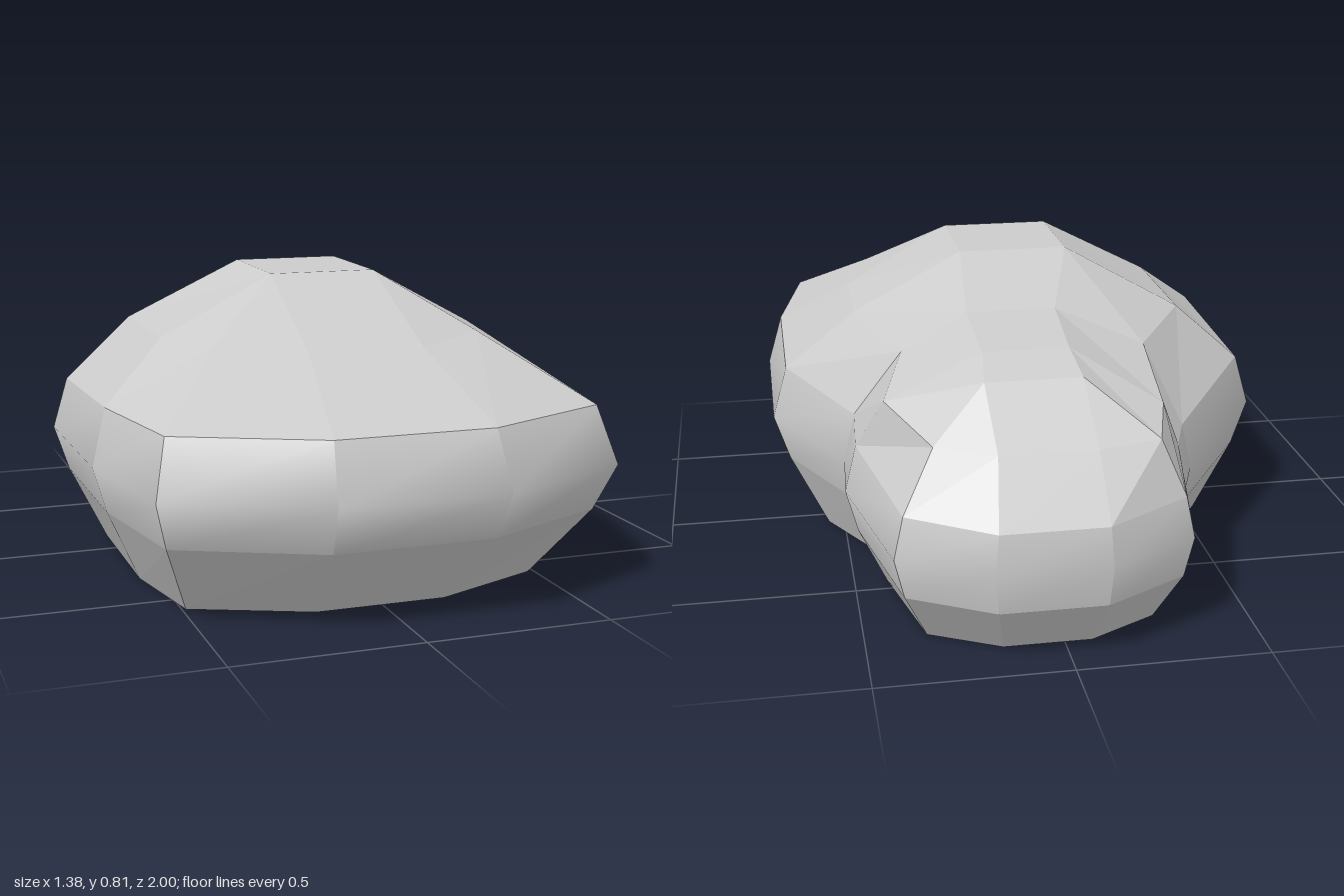
import * as THREE from 'three';

// Plan outline at the widest level [x, z], counter-clockwise seen from above
const outline = [
  [0.22, 1], [0.61, 0.82], [0.69, 0.42], [0.69, -0.06], [0.51, -0.36], [0.52, -0.53], [0.43, -0.89], [0.2, -1],
  [-0.09, -1], [-0.32, -0.89], [-0.37, -0.63], [-0.41, -0.53], [-0.69, -0.15], [-0.69, 0.42], [-0.62, 0.82], [-0.23, 1],
];
// Upper shoulder of the rock [x, y, z]
const shoulder = [
  [0.17, 0.64, 0.56], [0.37, 0.66, 0.45], [0.45, 0.65, 0.22], [0.45, 0.65, -0.06],
  [0.35, 0.63, -0.37], [0.42, 0.58, -0.6], [0.32, 0.53, -0.8], [0.17, 0.52, -0.86],
  [-0.08, 0.52, -0.86], [-0.24, 0.53, -0.84], [-0.28, 0.57, -0.7], [-0.3, 0.63, -0.41],
  [-0.46, 0.65, -0.16], [-0.46, 0.65, 0.24], [-0.37, 0.66, 0.46], [-0.15, 0.64, 0.56],
];
// Ridge along the top: right side, then left side; end points are shared by several columns
const F = [0.15, 0.81, 0.24], R = [0.18, 0.655, -0.71];
const f = [-0.15, 0.81, 0.24], r = [-0.07, 0.655, -0.71];
const ridge = [
  F, F, F, [0.15, 0.815, -0.08], [0.17, 0.72, -0.34], [0.165, 0.69, -0.58], R, R,
  r, r, [-0.06, 0.69, -0.58], [-0.07, 0.72, -0.34], [-0.15, 0.815, -0.08], f, f, f,
];

// Scaled copy of the outline; its height slopes from front to back
function level(sx, szFront, szBack, yFront, yBack) {
  return outline.map(([x, z]) => [
    x * sx, yFront + (yBack - yFront) * Math.max(0, -z), z * (z > 0 ? szFront : szBack),
  ]);
}

const same = (a, b) => a.every((v, i) => v === b[i]);

// Strip of quads between rows of two points; smooth along the strip if asked
function strip(rows, smooth) {
  const index = [];
  const tri = (a, b, c) => {
    const p = rows.flat();
    if (!same(p[a], p[b]) && !same(p[b], p[c]) && !same(p[a], p[c])) index.push(a, b, c);
  };
  for (let k = 0; k < rows.length - 1; k++) {
    const a = 2 * k;
    tri(a, a + 1, a + 3);
    tri(a, a + 3, a + 2);
  }
  let g = new THREE.BufferGeometry();
  g.setAttribute('position', new THREE.Float32BufferAttribute(rows.flat(2), 3));
  g.setIndex(index);
  if (smooth) g.computeVertexNormals();
  g = g.toNonIndexed();
  if (!smooth) g.computeVertexNormals();
  return g;
}

export function createModel() {
  const group = new THREE.Group();
  group.name = 'rock';
  const material = new THREE.MeshStandardMaterial({ color: 0xcccccc });
  const add = (name, strips) => {
    const part = new THREE.Group();
    part.name = name;
    for (const g of strips) {
      if (!g.attributes.position.count) continue;
      const mesh = new THREE.Mesh(g, material);
      mesh.name = name + 'Facet';
      part.add(mesh);
    }
    group.add(part);
  };

  const base = level(0.79, 0.71, 0.86, 0, 0);
  const low = level(0.94, 0.93, 0.98, 0.22, 0.16);
  const wide = level(1, 1, 1, 0.35, 0.27);
  const high = level(0.94, 0.93, 0.98, 0.5, 0.37);
  const n = outline.length;
  const columns = (rings, smooth) => outline.map((_, i) =>
    strip(rings.map((ring) => [ring[i], ring[(i + 1) % n]]), smooth));

  // Sides: undercut foot, rounded waist, faceted slopes
  add('foot', columns([base, low], false));
  add('waist', columns([low, wide, high], true));
  add('lowerSlope', columns([high, shoulder], false));
  add('upperSlope', columns([shoulder, ridge], false));

  // Ridge top and flat underside, closed by crosswise strips
  const crown = [], underside = [];
  for (let i = 0; i < n / 2 - 1; i++) {
    const j = n - 1 - i;
    crown.push(strip([[ridge[j], ridge[i]], [ridge[j - 1], ridge[i + 1]]], false));
    underside.push(strip([[base[i], base[j]], [base[i + 1], base[j - 1]]], false));
  }
  add('crown', crown);
  add('underside', underside);
  return group;
}
